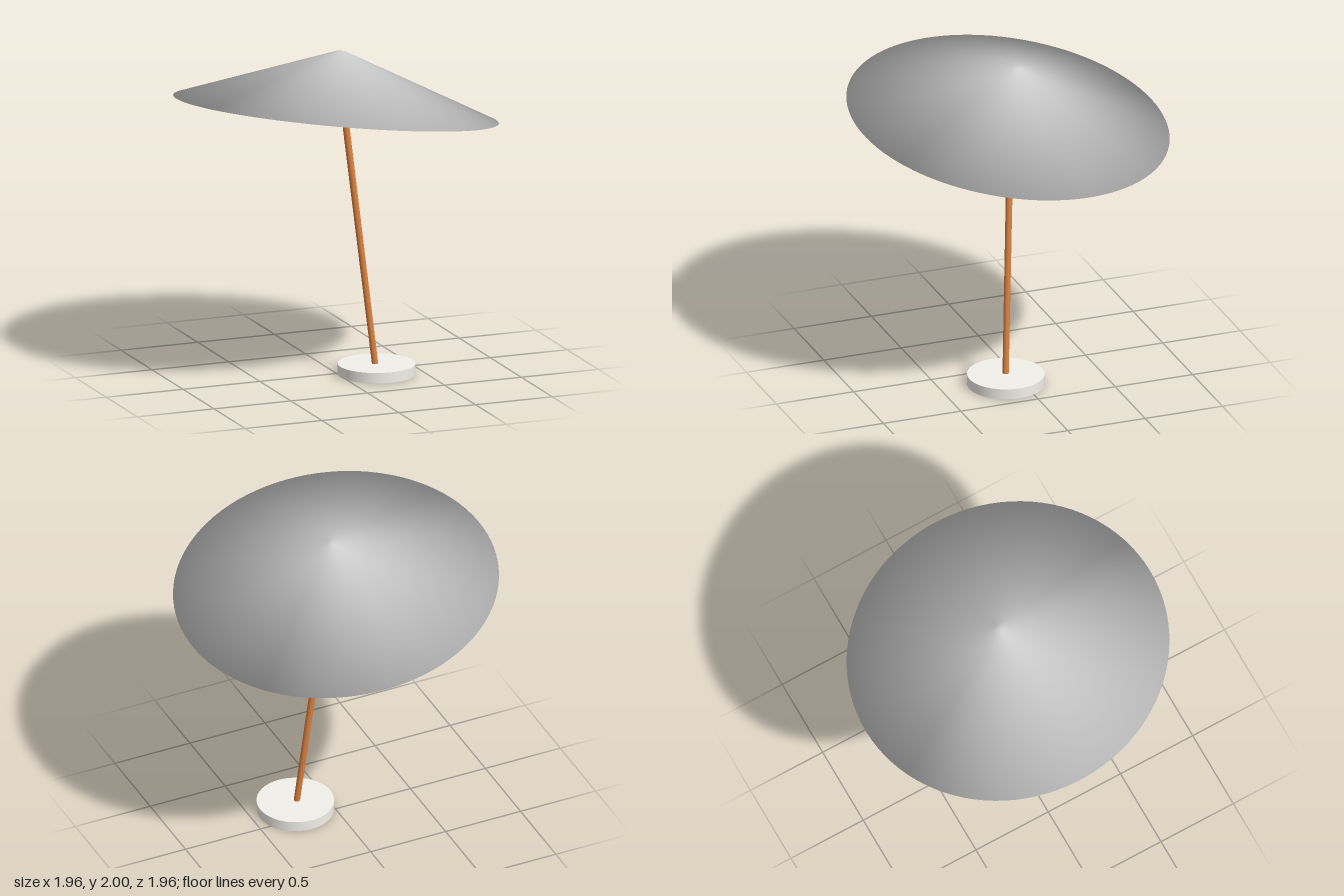
import * as THREE from 'three';

const material = (color) => new THREE.MeshStandardMaterial({ color });
const UP = new THREE.Vector3(0, 1, 0);

function addPart(group, name, geometry, color) {
  const mesh = new THREE.Mesh(geometry, material(color));
  mesh.name = name;
  group.add(mesh);
  return mesh;
}

export function createModel() {
  const group = new THREE.Group();
  group.name = 'tiltedParasol';

  // Round weighted foot
  const base = addPart(group, 'base', new THREE.CylinderGeometry(0.235, 0.235, 0.065, 64), 0xf2f0ea);
  base.position.set(0.22, 0.0345, 0.1);

  // Leaning pole, from the foot to the underside of the canopy
  const foot = new THREE.Vector3(0.217, 0.002, 0.102);
  const head = new THREE.Vector3(0.043, 1.68, 0.001);
  const lean = head.clone().sub(foot);
  const pole = addPart(group, 'pole', new THREE.CylinderGeometry(0.021, 0.019, lean.length(), 24), 0xd9813f);
  pole.position.copy(foot).add(head).multiplyScalar(0.5);
  pole.quaternion.setFromUnitVectors(UP, lean.normalize());

  // Shallow closed cone with a small blunt tip, softly shaded over the rim
  const profile = [[0, 0], [0.987, 0], [0.03, 0.353], [0, 0.355]]
    .map(([r, y]) => new THREE.Vector2(r, y));
  const canopy = addPart(group, 'canopy', new THREE.LatheGeometry(profile, 96), 0xcccccc);
  canopy.position.set(-0.004, 1.65, 0);
  canopy.quaternion.setFromUnitVectors(UP, new THREE.Vector3(0.139, 1, -0.107).normalize());

  return group;
}
